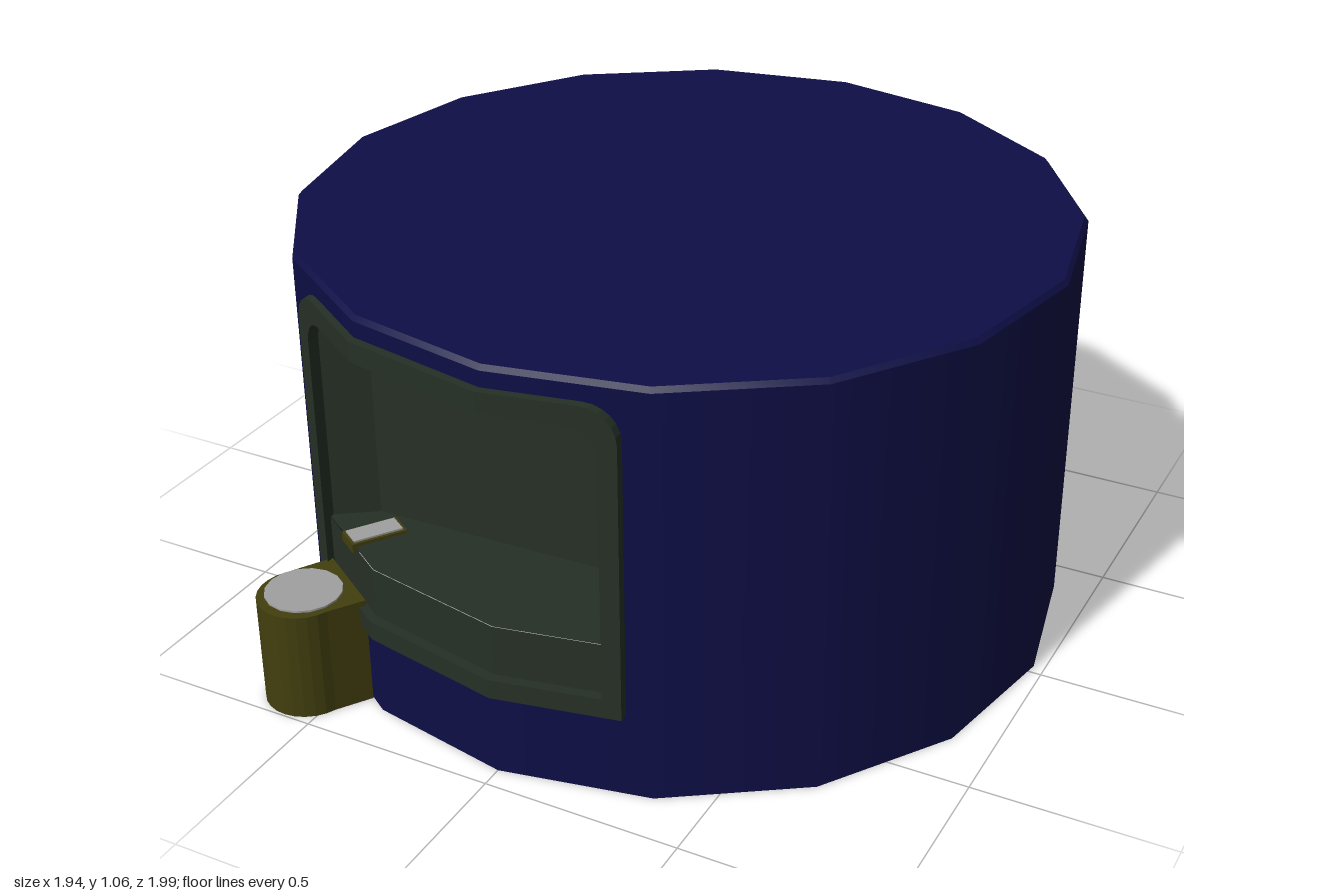
import * as THREE from 'three';

const R = 0.972, CZ = -0.028, STEP = Math.PI / 8;
const mat = (name, color) => new THREE.MeshStandardMaterial({ name, color, side: THREE.DoubleSide });

// Corner of the sixteen-sided drum, counted from the front towards +x
const corner = i => [R * Math.sin(i * STEP), CZ + R * Math.cos(i * STEP)];
const FOLDS = [-2, -1, 0, 1].map(corner);

// Depth of the front wall at a given x
function wallZ(x) {
  const i = x < FOLDS[1][0] ? 0 : x < 0 ? 1 : 2;
  const [a, b] = [FOLDS[i], FOLDS[i + 1]];
  return a[1] + (b[1] - a[1]) * (x - a[0]) / (b[0] - a[0]);
}

// Points along the front wall from x0 to x1, including the folds
function wallPath(x0, x1, offset = 0) {
  const xs = [x0, ...FOLDS.map(p => p[0]).filter(x => x > x0 + 1e-4 && x < x1 - 1e-4), x1];
  return xs.map(x => [x, wallZ(x) + offset]);
}

// Upright wall following a path of [x, z] points
function strip(path, y0, y1, round = false) {
  const pos = [];
  for (let i = 0; i < path.length - 1; i++) {
    const [ax, az] = path[i], [bx, bz] = path[i + 1];
    pos.push(ax, y0, az, bx, y0, bz, bx, y1, bz, ax, y0, az, bx, y1, bz, ax, y1, az);
  }
  const g = new THREE.BufferGeometry();
  g.setAttribute('position', new THREE.Float32BufferAttribute(pos, 3));
  g.computeVertexNormals();
  if (round) {
    const p = g.attributes.position, v = new THREE.Vector3();
    for (let i = 0; i < p.count; i++) {
      v.set(p.getX(i), 0, p.getZ(i) - CZ).normalize();
      g.attributes.normal.setXYZ(i, v.x, v.y, v.z);
    }
  }
  return g;
}

// Flat shape from [x, z] points, raised from y0 by height
function slab(points, y0, height) {
  const shape = new THREE.Shape(points.map(([x, z]) => new THREE.Vector2(x, -z)));
  const g = height
    ? new THREE.ExtrudeGeometry(shape, { depth: height, bevelEnabled: false })
    : new THREE.ShapeGeometry(shape);
  return g.rotateX(-Math.PI / 2).translate(0, y0, 0);
}

// Window outline: square at the bottom, rounded at the top, with points at the folds
function outline(x0, x1, y0, y1, r) {
  const folds = [FOLDS[1][0], 0];
  const pts = [[x0, y0], ...folds.map(x => [x, y0]), [x1, y0]];
  for (let i = 0; i <= 6; i++) {
    const a = i / 6 * Math.PI / 2;
    pts.push([x1 - r + r * Math.cos(a), y1 - r + r * Math.sin(a)]);
  }
  pts.push([0, y1], [folds[0], y1]);
  for (let i = 0; i <= 6; i++) {
    const a = (1 + i / 6) * Math.PI / 2;
    pts.push([x0 + r + r * Math.cos(a), y1 - r + r * Math.sin(a)]);
  }
  return pts;
}

// Frame swept round the outline and folded onto the wall
function frameGeometry() {
  const outer = outline(-0.645, 0.31, 0.22, 1.012, 0.085);
  const inner = outline(-0.6, 0.265, 0.27, 0.96, 0.07);
  const pos = [], idx = [], n = outer.length;
  for (let i = 0; i < n; i++) {
    for (const [p, d] of [[outer[i], -0.02], [outer[i], 0.022], [inner[i], 0.022], [inner[i], -0.035]])
      pos.push(p[0], p[1], wallZ(p[0]) + d);
    for (let k = 0; k < 4; k++) {
      const a = i * 4 + k, b = i * 4 + (k + 1) % 4;
      const c = ((i + 1) % n) * 4 + k, d = ((i + 1) % n) * 4 + (k + 1) % 4;
      idx.push(a, c, d, a, d, b);
    }
  }
  const g = new THREE.BufferGeometry();
  g.setAttribute('position', new THREE.Float32BufferAttribute(pos, 3));
  g.setIndex(idx);
  const flat = g.toNonIndexed();
  flat.computeVertexNormals();
  return flat;
}

export function createModel() {
  const model = new THREE.Group();
  const navy = mat('navy', 0x0e0e46);
  const green = mat('darkGreen', 0x263026);
  const olive = mat('olive', 0x423f0f);
  const grey = mat('lightGrey', 0xa0a0a0);
  const add = (name, geometry, material) => {
    const m = new THREE.Mesh(geometry, material);
    m.name = name;
    model.add(m);
    return m;
  };

  // Drum: closed top, open underneath, three front facets left for the window
  const V = (x, y) => new THREE.Vector2(x, y);
  add('drumWall', new THREE.LatheGeometry([V(R, 0), V(R, 1.052)], 13, STEP, 13 * STEP).translate(0, 0, CZ), navy);
  add('drumEdge', new THREE.LatheGeometry([V(R, 1.052), V(R - 0.01, 1.064)], 16).translate(0, 0, CZ), navy);
  add('drumTop', new THREE.CircleGeometry(R - 0.01, 16).rotateX(-Math.PI / 2).translate(0, 1.064, CZ), navy);

  // Front facets around the window opening
  const [xl, xr, yb, yt] = [-0.62, 0.285, 0.25, 0.982];
  const [left, right] = [FOLDS[0][0], FOLDS[3][0]];
  add('wallBelowWindow', strip(wallPath(left, right), 0, yb, true), navy);
  add('wallAboveWindow', strip(wallPath(left, right), yt, 1.052, true), navy);
  add('wallRightOfWindow', strip(wallPath(left, xl), yb, yt, true), navy);
  add('wallLeftOfWindow', strip(wallPath(xr, right), yb, yt, true), navy);

  // Window frame and the recess behind it
  add('windowFrame', frameGeometry(), green);
  add('sillFace', strip(wallPath(-0.64, 0.285, -0.004), 0.22, 0.4), green);
  const recess = [[-0.66, 0.64], [0.28, 0.61], ...wallPath(-0.66, 0.28, -0.006).reverse()];
  add('recessFloor', slab(recess, 0.4, 0), green);
  add('recessCeiling', slab(recess, 0.965, 0), green);
  add('recessBack', strip([[-0.66, 0.64], [0.28, 0.61]], 0.4, 0.965), green);
  add('recessLeftWall', strip([[0.28, 0.61], [0.28, wallZ(0.28)]], 0.4, 0.965), green);
  add('recessRightWall', strip([[-0.605, wallZ(-0.605) - 0.01], [-0.505, 0.635]], 0.4, 0.965), green);

  // Post outside the wall, round at the front with a neck running into the wall
  const [px, pz, pr] = [-0.575, 0.887, 0.107];
  const post = [[-0.42, 0.84], [-0.6, 0.72]];
  for (let i = 0; i <= 14; i++) {
    const a = THREE.MathUtils.degToRad(215 - i * 14);
    post.push([px + pr * Math.cos(a), pz + pr * Math.sin(a)]);
  }
  add('post', slab(post, 0, 0.285), olive);
  add('postTop', new THREE.CylinderGeometry(0.095, 0.095, 0.006, 16).translate(px, 0.287, pz - 0.012), grey);

  // Small tray lying on the sill, turned to follow the wall
  const tray = new THREE.Group();
  tray.name = 'tray';
  const rim = new THREE.Mesh(new THREE.BoxGeometry(0.07, 0.024, 0.14), olive);
  rim.name = 'trayRim';
  tray.add(rim);
  for (const y of [-0.014, 0.014]) {
    const face = new THREE.Mesh(new THREE.BoxGeometry(0.055, 0.005, 0.125), grey);
    face.name = 'trayFace';
    face.position.y = y;
    tray.add(face);
  }
  tray.position.set(-0.46, 0.396, 0.73);
  tray.rotation.y = -0.59;
  model.add(tray);

  return model;
}
